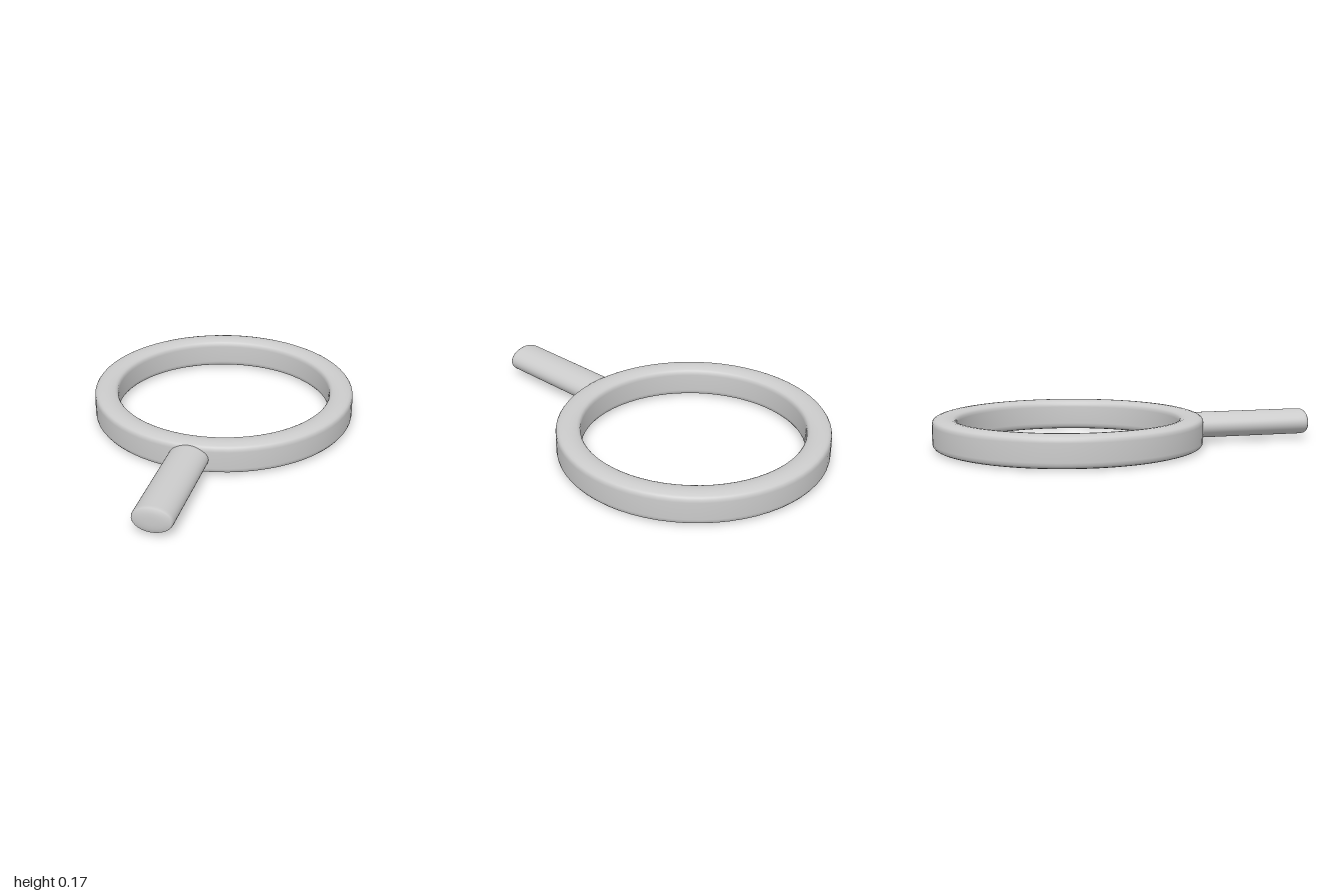
import * as THREE from 'three';

const material = new THREE.MeshStandardMaterial({ color: 0xcccccc, side: THREE.DoubleSide });

// Lathe from [radius, height] pairs
function lathe(points, segments) {
  return new THREE.LatheGeometry(points.map(([r, y]) => new THREE.Vector2(r, y)), segments);
}

function addPart(group, name, geometry) {
  const mesh = new THREE.Mesh(geometry, material);
  mesh.name = name;
  group.add(mesh);
  return mesh;
}

export function createModel() {
  const group = new THREE.Group();
  group.name = 'ringWithHandle';

  // Ring: upright band with softly rounded, slightly domed rims
  const mid = 0.0825, centre = 0.6325;
  // Quarter of the cross-section: offsets from its centre, from outer wall to crown
  const quarter = [[0.0625, 0], [0.0625, 0.046], [0.0605, 0.06], [0.054, 0.069], [0.044, 0.0745], [0.024, 0.0805], [0, 0.0825]];
  const back = quarter.slice(0, -1).reverse();
  const upper = [...quarter, ...back.map(([x, y]) => [-x, y])];
  const lower = upper.slice(0, -1).reverse().map(([x, y]) => [x, -y]);
  const section = [...upper, ...lower].map(([x, y]) => [centre + x, mid + y]);
  const ring = addPart(group, 'ring', lathe(section, 64));
  ring.position.z = -0.305;

  // Handle: oval rod running forward from the ring, with a rounded tip
  const rod = lathe([[0, 0.33], [1, 0.33], [1, 0.4], [1, 0.96], [0.995, 0.972], [0.97, 0.982], [0.92, 0.988], [0.6, 0.993], [0.3, 0.995], [0, 0.995]], 40);
  rod.scale(0.102, 1, 0.067);
  rod.rotateX(Math.PI / 2);
  const handle = addPart(group, 'handle', rod);
  handle.position.y = 0.0855;

  return group;
}
